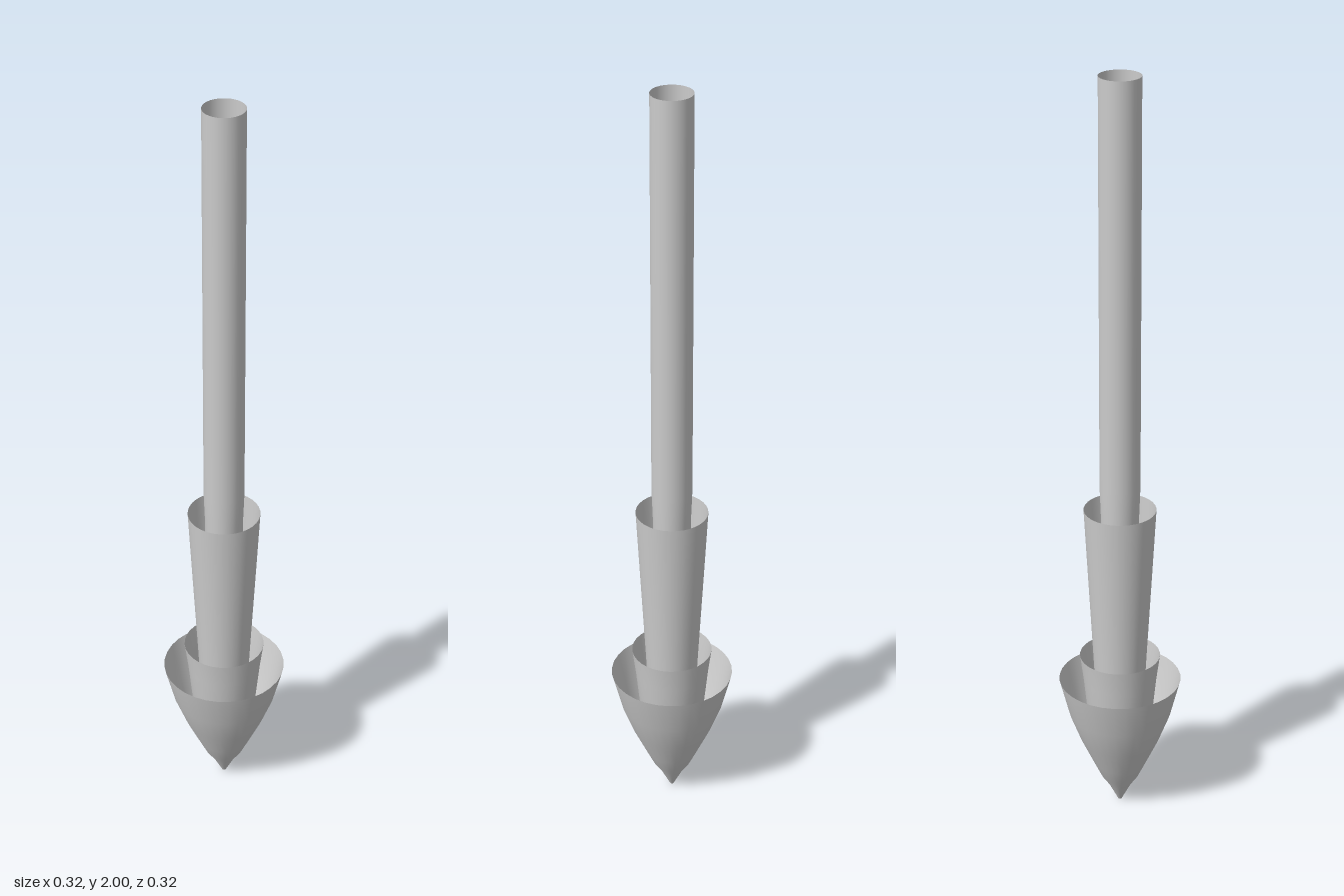
import * as THREE from 'three';

// Nested thin shells, open at the top and drawn in towards a common tip.
// Each profile is a list of [radius, height] from bottom to top.
const SHELLS = {
  tipCone: [[0.005, 0], [0.03, 0.05], [0.05, 0.08], [0.07, 0.123], [0.105, 0.2], [0.135, 0.28], [0.16, 0.38]],
  collar: [[0.005, 0.01], [0.025, 0.05], [0.062, 0.13], [0.083, 0.25], [0.096, 0.38], [0.105, 0.45]],
  sleeve: [[0.005, 0.015], [0.022, 0.05], [0.048, 0.12], [0.06, 0.25], [0.07, 0.45], [0.082, 0.67], [0.093, 0.875]],
  shaft: [[0.005, 0.02], [0.018, 0.05], [0.034, 0.12], [0.042, 0.45], [0.049, 0.86], [0.052, 0.94], [0.052, 2]],
};

export function createModel() {
  const model = new THREE.Group();
  model.name = 'spearShaft';
  const material = new THREE.MeshStandardMaterial({ color: 0xcccccc, side: THREE.DoubleSide });
  for (const [name, profile] of Object.entries(SHELLS)) {
    const points = profile.map(([r, y]) => new THREE.Vector2(r, y));
    const mesh = new THREE.Mesh(new THREE.LatheGeometry(points, 32), material);
    mesh.name = name;
    model.add(mesh);
  }
  return model;
}
